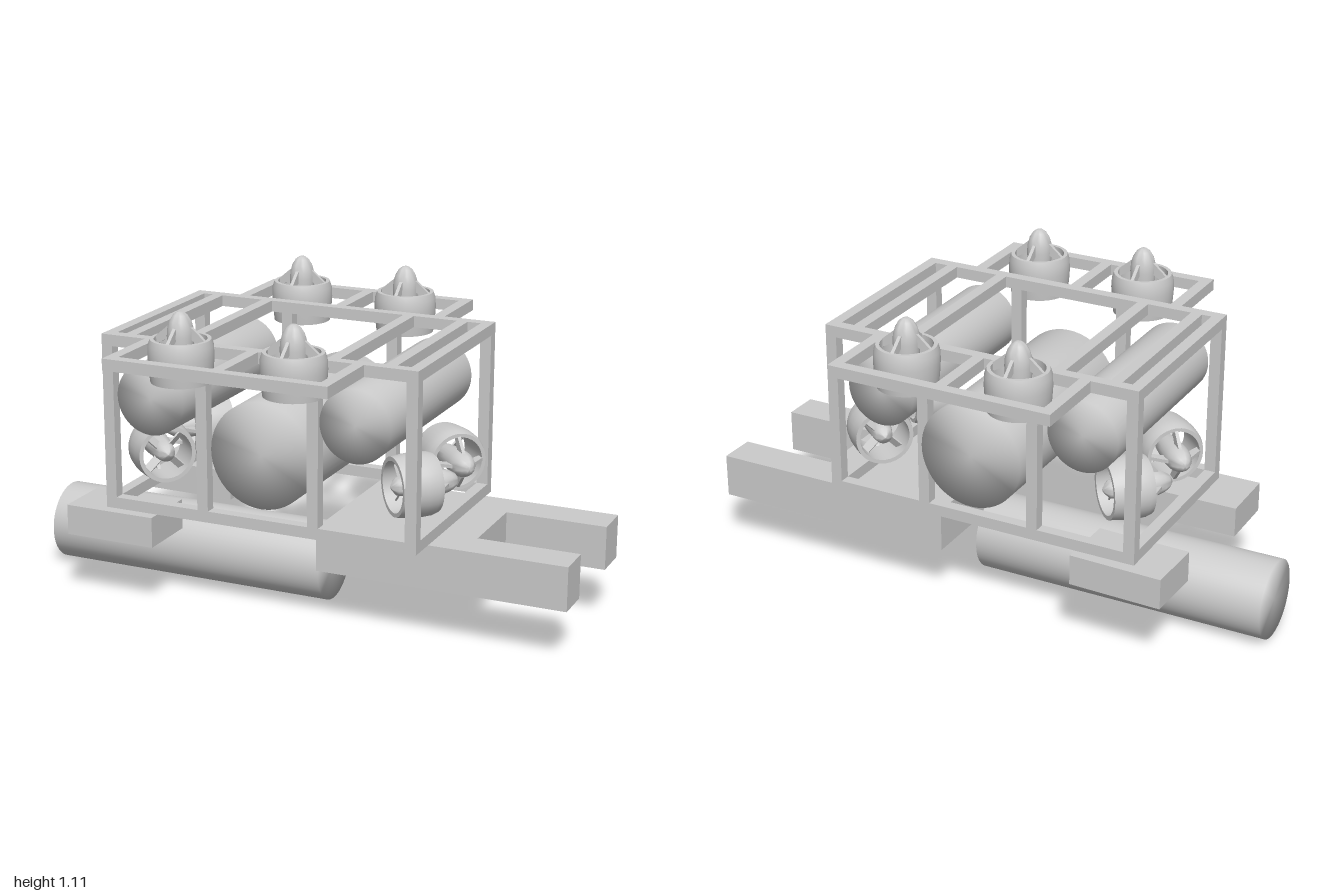
import * as THREE from 'three';
import { mergeVertices, toCreasedNormals } from 'three/addons/utils/BufferGeometryUtils.js';

const grey = new THREE.MeshStandardMaterial({ color: 0xcccccc });
const thin = new THREE.MeshStandardMaterial({ color: 0xcccccc, side: THREE.DoubleSide });

function add(parent, name, geometry, material = grey) {
  const mesh = new THREE.Mesh(geometry, material);
  mesh.name = name;
  parent.add(mesh);
  return mesh;
}

// Box given by its limits on each axis
function box(parent, name, [x0, x1], [y0, y1], [z0, z1]) {
  const mesh = add(parent, name, new THREE.BoxGeometry(x1 - x0, y1 - y0, z1 - z0));
  mesh.position.set((x0 + x1) / 2, (y0 + y1) / 2, (z0 + z1) / 2);
  return mesh;
}

// Closed cylinder whose shading runs smoothly over the end rims
function tank(parent, name, radius, length) {
  const raw = new THREE.CylinderGeometry(radius, radius, length, 48);
  raw.deleteAttribute('normal');
  raw.deleteAttribute('uv');
  const geometry = mergeVertices(raw);
  geometry.computeVertexNormals();
  return add(parent, name, geometry);
}

function lathe(points, segments) {
  const geometry = new THREE.LatheGeometry(points.map(([r, y]) => new THREE.Vector2(r, y)), segments);
  return toCreasedNormals(geometry, 0.7);
}

// Ducted thruster along +y, nose at the top
const ductGeometry = lathe([
  [0.088, -0.073], [0.102, -0.073], [0.107, -0.03], [0.110, 0.015], [0.108, 0.05],
  [0.101, 0.071], [0.088, 0.071], [0.088, -0.073],
], 32);
const hubGeometry = lathe([
  [0, -0.083], [0.012, -0.076], [0.03, -0.06], [0.036, -0.03], [0.042, 0.03], [0.045, 0.08],
  [0.043, 0.105], [0.036, 0.13], [0.024, 0.15], [0.011, 0.16], [0, 0.162],
], 24);
const finShape = new THREE.Shape([
  [0.035, 0.115], [0.047, 0.108], [0.094, 0.068], [0.094, 0.035], [0.085, 0.045], [0.035, 0.075],
].reverse().map(([x, y]) => new THREE.Vector2(x, y)));
const finGeometry = new THREE.ExtrudeGeometry(finShape, { depth: 0.012, bevelEnabled: false });
finGeometry.translate(0, 0, -0.006);
const bladeGeometry = new THREE.BoxGeometry(0.055, 0.006, 0.03);
bladeGeometry.rotateX(0.7);
bladeGeometry.translate(0.058, -0.03, 0);

function thruster(name) {
  const group = new THREE.Group();
  group.name = name;
  add(group, 'duct', ductGeometry, thin);
  add(group, 'hub', hubGeometry, thin);
  for (let i = 0; i < 4; i++) {
    add(group, 'strut', finGeometry).rotation.y = i * Math.PI / 2;
    add(group, 'propellerBlade', bladeGeometry).rotation.y = (i + 0.5) * Math.PI / 2;
  }
  return group;
}

export function createModel() {
  const model = new THREE.Group();
  model.name = 'underwaterVehicle';

  // Open frame of square bars
  const frame = new THREE.Group();
  frame.name = 'frame';
  model.add(frame);
  const bar = 0.04, X = [-0.64, 0.515], low = [0.35, 0.39], high = [0.93, 0.97];
  const around = (c) => [c - bar / 2, c + bar / 2];
  const ends = [-0.62, 0.495], tankX = [-0.445, 0.307];
  for (const s of [-1, 1]) {
    const side = around(s * 0.335);
    box(frame, 'lowerRail', X, low, side);
    box(frame, 'upperRail', X, high, side);
    for (const x of [...ends, -0.265, 0.145]) box(frame, 'post', around(x), [0.39, 0.93], side);

    // Outrigger carrying the vertical thrusters
    box(frame, 'outriggerRail', [-0.473, 0.327], high, around(s * 0.617));
    const reach = s > 0 ? [0.355, 0.597] : [-0.597, -0.355];
    for (const x of [-0.453, -0.07, 0.307]) box(frame, 'outriggerArm', around(x), high, reach);
  }
  for (const x of ends) {
    box(frame, 'lowerCrossbar', around(x), low, [-0.315, 0.315]);
    box(frame, 'upperCrossbar', around(x), high, [-0.315, 0.315]);
  }
  for (const c of tankX) {
    for (const d of [-0.1, 0.1]) box(frame, 'tankCrossbar', around(c + d), high, [-0.315, 0.315]);
  }

  // Buoyancy tanks and main hull
  for (const x of tankX) {
    const t = tank(model, 'buoyancyTank', 0.126, 0.727);
    t.rotation.x = Math.PI / 2;
    t.position.set(x, 0.767, 0.0135);
  }
  const hull = tank(model, 'mainHull', 0.186, 0.72);
  hull.rotation.x = Math.PI / 2;
  hull.position.set(-0.045, 0.612, -0.01);

  // Long cylinder slung below
  const pod = tank(model, 'lowerPod', 0.139, 1.065);
  pod.rotation.z = Math.PI / 2;
  pod.position.set(-0.4675, 0.14, 0);

  // Forked plate
  const fork = new THREE.Shape([
    [0.105, -0.312], [0.995, -0.312], [0.995, -0.178], [0.637, -0.178],
    [0.637, 0.108], [0.995, 0.108], [0.995, 0.24], [0.105, 0.24],
  ].map(([x, z]) => new THREE.Vector2(x, z)));
  const forkGeometry = new THREE.ExtrudeGeometry(fork, { depth: 0.155, bevelEnabled: false });
  forkGeometry.rotateX(Math.PI / 2);
  add(model, 'forkedPlate', forkGeometry).position.y = 0.347;

  // Ballast blocks, the rear one slightly turned
  box(model, 'frontBallast', [-0.78, -0.445], [0.24, 0.348], [0.17, 0.39]);
  box(model, 'rearBallast', [-0.757, -0.427], [0.24, 0.348], [-0.393, -0.178]).rotation.y = -0.03;

  // Vertical thrusters on the outriggers
  for (const x of [-0.275, 0.132]) {
    for (const z of [-0.466, 0.466]) {
      const t = thruster('verticalThruster');
      t.position.set(x, 0.948, z);
      model.add(t);
    }
  }

  // Horizontal thrusters, noses turned 45 degrees outward and to the middle
  const up = new THREE.Vector3(0, 1, 0);
  for (const [x, dir] of [[-0.52, -1], [0.428, 1]]) {
    for (const s of [-1, 1]) {
      const t = thruster('horizontalThruster');
      t.position.set(x, 0.525, s * 0.171);
      t.quaternion.setFromUnitVectors(up, new THREE.Vector3(dir, 0, -s).normalize());
      t.rotateY(Math.PI / 4);
      model.add(t);
    }
  }
  return model;
}
